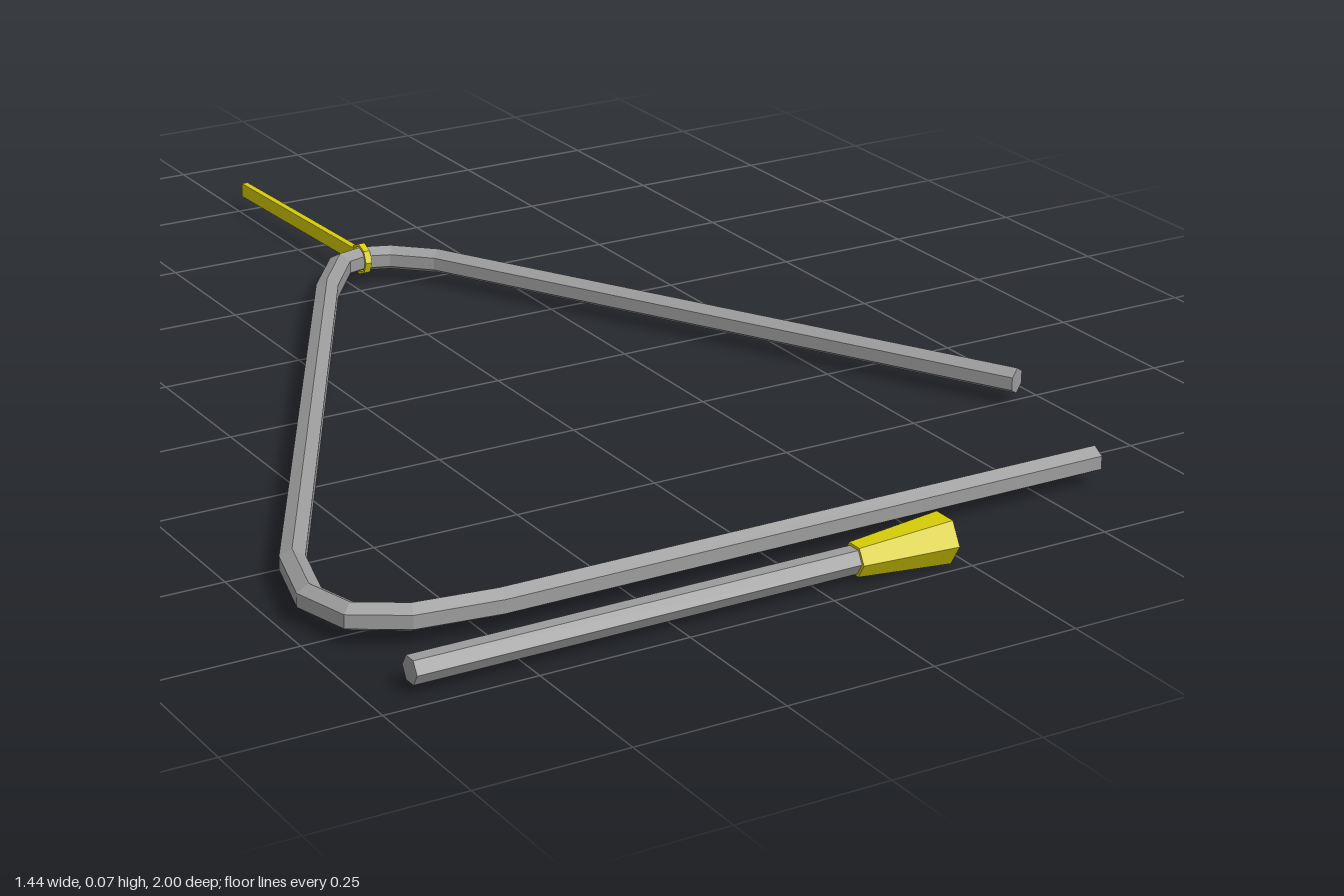
import * as THREE from 'three';

const SIDES = 6;
const MID = 0.04; // height of the rod centre line

// Six-sided rod swept along a flat path of [x, z] points with mitred corners
function sweptRod(path, radius) {
  const pts = path.map(([x, z]) => new THREE.Vector3(x, MID, z));
  const pos = [], index = [];
  const last = pts.length - 1;
  const dir = (i) => pts[i + 1].clone().sub(pts[i]).normalize();
  pts.forEach((p, i) => {
    const a = dir(Math.max(i - 1, 0)), b = dir(Math.min(i, last - 1));
    const t = a.clone().add(b).normalize();
    const reach = radius / t.dot(b);
    for (let j = 0; j < SIDES; j++) {
      const ang = Math.PI / 6 + (j * Math.PI * 2) / SIDES;
      const across = Math.cos(ang) * reach;
      pos.push(p.x + t.z * across, p.y + Math.sin(ang) * radius, p.z - t.x * across);
    }
  });
  for (let i = 0; i < last; i++) {
    for (let j = 0; j < SIDES; j++) {
      const k = (j + 1) % SIDES, r = i * SIDES, s = r + SIDES;
      index.push(r + j, r + k, s + j, r + k, s + k, s + j);
    }
  }
  // End caps
  const e = last * SIDES;
  for (let j = 1; j < SIDES - 1; j++) {
    index.push(0, j + 1, j, e, e + j, e + j + 1);
  }
  const geo = new THREE.BufferGeometry();
  geo.setAttribute('position', new THREE.Float32BufferAttribute(pos, 3));
  geo.setIndex(index);
  geo.computeVertexNormals();
  return geo;
}

export function createModel() {
  const model = new THREE.Group();
  model.name = 'triangleInstrument';

  const steel = new THREE.MeshStandardMaterial({ color: 0x9c9c9c, flatShading: true });
  steel.name = 'steel';
  const yellow = new THREE.MeshStandardMaterial({ color: 0xd6cc08, flatShading: true });
  yellow.name = 'yellow';

  const add = (name, geo, mat, parent = model) => {
    const mesh = new THREE.Mesh(geo, mat);
    mesh.name = name;
    parent.add(mesh);
    return mesh;
  };

  // Bent rod, open at the front left corner
  add('triangleRod', sweptRod([
    [0.70, 0.51], [0.145, -0.475], [0.08, -0.535], [0.03, -0.553], [-0.02, -0.54], [-0.10, -0.435],
    [-0.67, 0.565], [-0.703, 0.685], [-0.68, 0.77], [-0.605, 0.815], [-0.47, 0.833], [0.605, 0.836],
  ], 0.0225), steel);

  // Beater: a straight rod with a flared grip
  const beater = new THREE.Group();
  beater.name = 'beater';
  beater.position.set(0, 0.036, 0.958);
  model.add(beater);
  const alongX = (rEnd, rStart, x0, x1) => {
    const geo = new THREE.CylinderGeometry(rEnd, rStart, x1 - x0, SIDES);
    return geo.rotateZ(-Math.PI / 2).translate((x0 + x1) / 2, 0, 0);
  };
  add('beaterRod', alongX(0.022, 0.022, -0.685, 0.08), steel, beater);
  add('beaterGrip', alongX(0.041, 0.027, 0.062, 0.226), yellow, beater);

  // Hanging strap: a loop round the rod and a straight band behind it
  const loop = new THREE.Shape().absarc(0, 0, 0.029, 0, Math.PI * 2);
  loop.holes.push(new THREE.Path().absarc(0, 0, 0.024, 0, Math.PI * 2));
  const loopGeo = new THREE.ExtrudeGeometry(loop, { depth: 0.012, bevelEnabled: false, curveSegments: 4 });
  loopGeo.translate(0, 0, -0.006).rotateY(Math.PI / 2);
  add('strapLoop', loopGeo, yellow).position.set(0.03, MID, -0.553);

  const from = new THREE.Vector3(0.03, MID + 0.002, -0.575);
  const to = new THREE.Vector3(0.013, MID + 0.002, -1.0);
  const band = add('strapBand', new THREE.BoxGeometry(0.012, 0.026, from.distanceTo(to)), yellow);
  band.position.copy(from).lerp(to, 0.5);
  band.lookAt(to);

  return model;
}
